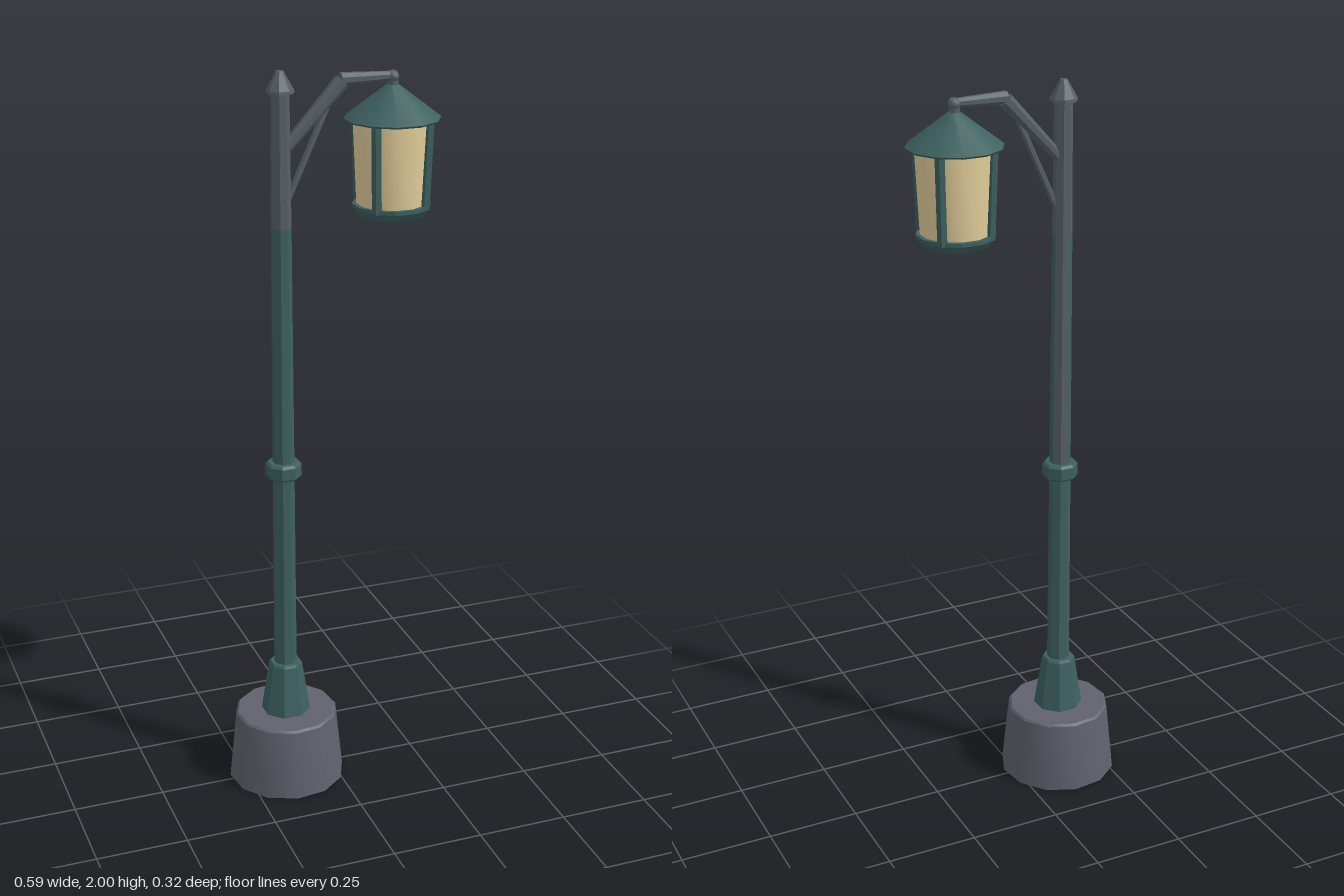
import * as THREE from 'three';
import { toCreasedNormals } from 'three/addons/utils/BufferGeometryUtils.js';

const PX = -0.132; // post axis
const LX = 0.17;   // lantern axis
const OCT = Math.PI / 8;
const flat = (r) => r / Math.cos(OCT); // octagon radius from half width

export function createModel() {
  const group = new THREE.Group();
  const mat = (name, color) => {
    const m = new THREE.MeshStandardMaterial({ color });
    m.name = name;
    return m;
  };
  const stone = mat('stone grey', 0x60626e);
  stone.side = THREE.DoubleSide; // the base is open underneath
  const green = mat('dark green', 0x3d6160);
  const iron = mat('iron grey', 0x566066);
  const glass = mat('warm glass', 0xe4cf9b);

  const add = (name, geo, material, crease = 0.3) => {
    const mesh = new THREE.Mesh(toCreasedNormals(geo, crease), material);
    mesh.name = name;
    group.add(mesh);
    return mesh;
  };
  // Turned part from [radius, y] points
  const turned = (name, pts, sides, start, x, material, crease, arc = Math.PI * 2) => {
    const geo = new THREE.LatheGeometry(pts.map(([r, y]) => new THREE.Vector2(r, y)), sides, start, arc);
    return add(name, geo.translate(x, 0, 0), material, crease);
  };
  // Eight-sided part, or only some of its faces
  const octagon = (name, pts, material, first = 0, faces = 8) =>
    turned(name, pts.map(([r, y]) => [flat(r), y]), faces, OCT * (1 + 2 * first), PX, material, 0.3, faces * OCT * 2);
  // Tapered bar between two points
  const bar = (name, a, b, ra, rb, material, sides = 8) => {
    const from = new THREE.Vector3(...a), to = new THREE.Vector3(...b);
    const dir = to.clone().sub(from);
    const geo = new THREE.CylinderGeometry(rb, ra, dir.length(), sides, 1, false, Math.PI / sides);
    const mesh = add(name, geo, material);
    mesh.position.copy(from).add(to).multiplyScalar(0.5);
    mesh.quaternion.setFromUnitVectors(new THREE.Vector3(0, 1, 0), dir.normalize());
    return mesh;
  };

  // Stone base, hollow underneath
  turned('base', [[0.163, 0], [0.143, 0.196], [0.137, 0.202], [0, 0.202]], 12, -0.134, PX, stone, 0.6);

  // Post foot, shaft, collar and finial
  octagon('postFoot', [[0.063, 0.2], [0.043, 0.345], [0.039, 0.352], [0, 0.352]], green);
  octagon('lowerPost', [[0.029, 0.34], [0.027, 0.95]], green);
  // Middle of the post: green, with grey faces at the back left
  const shaft = [[0.027, 0.95], [0.0245, 1.6]];
  octagon('middlePostBack', shaft, iron, 2, 2);
  octagon('middlePostFront', shaft, green, 4, 6);
  octagon('upperPost', [[0.0245, 1.6], [0.022, 1.95]], iron);
  octagon('collar', [[0.025, 0.91], [0.039, 0.91], [0.045, 0.916], [0.045, 0.948], [0.039, 0.955], [0.025, 0.955]], green);
  octagon('finial', [[0.02, 1.945], [0.034, 1.945], [0.033, 1.953], [0.012, 1.994], [0.009, 2.0], [0, 2.0]], iron);

  // Bracket
  bar('lowerArm', [PX + 0.015, 1.805, 0], [0.033, 1.964, 0], 0.015, 0.021, iron);
  bar('upperArm', [0.028, 1.968, 0], [0.172, 1.968, 0], 0.018, 0.012, iron);
  bar('brace', [PX + 0.018, 1.67, 0], [0.005, 1.93, 0], 0.009, 0.009, iron, 6);
  bar('hanger', [LX, 1.935, 0], [LX, 1.975, 0], 0.014, 0.014, iron);
  add('hangerKnob', new THREE.SphereGeometry(0.017, 8, 6).translate(LX, 1.966, 0), iron, 1);

  // Lantern
  const twelfth = Math.PI / 12;
  turned('lanternRoof', [[0, 1.857], [0.122, 1.857], [0.126, 1.862], [0.016, 1.946], [0, 1.946]], 12, twelfth, LX, green, 0.6);
  turned('lanternGlass', [[0.091, 1.63], [0.102, 1.858]], 12, twelfth, LX, glass, 0.6);
  turned('lanternTray', [[0, 1.61], [0.088, 1.61], [0.103, 1.63], [0.103, 1.64], [0, 1.64]], 12, twelfth, LX, green, 0.5);

  // Corner bars on the lantern diagonals
  for (let i = 0; i < 4; i++) {
    const t = Math.PI / 4 + i * Math.PI / 2;
    const at = (r, y) => [LX + r * Math.sin(t), y, r * Math.cos(t)];
    bar('lanternBar', at(0.093, 1.63), at(0.102, 1.86), 0.014, 0.014, green, 6);
  }
  return group;
}
